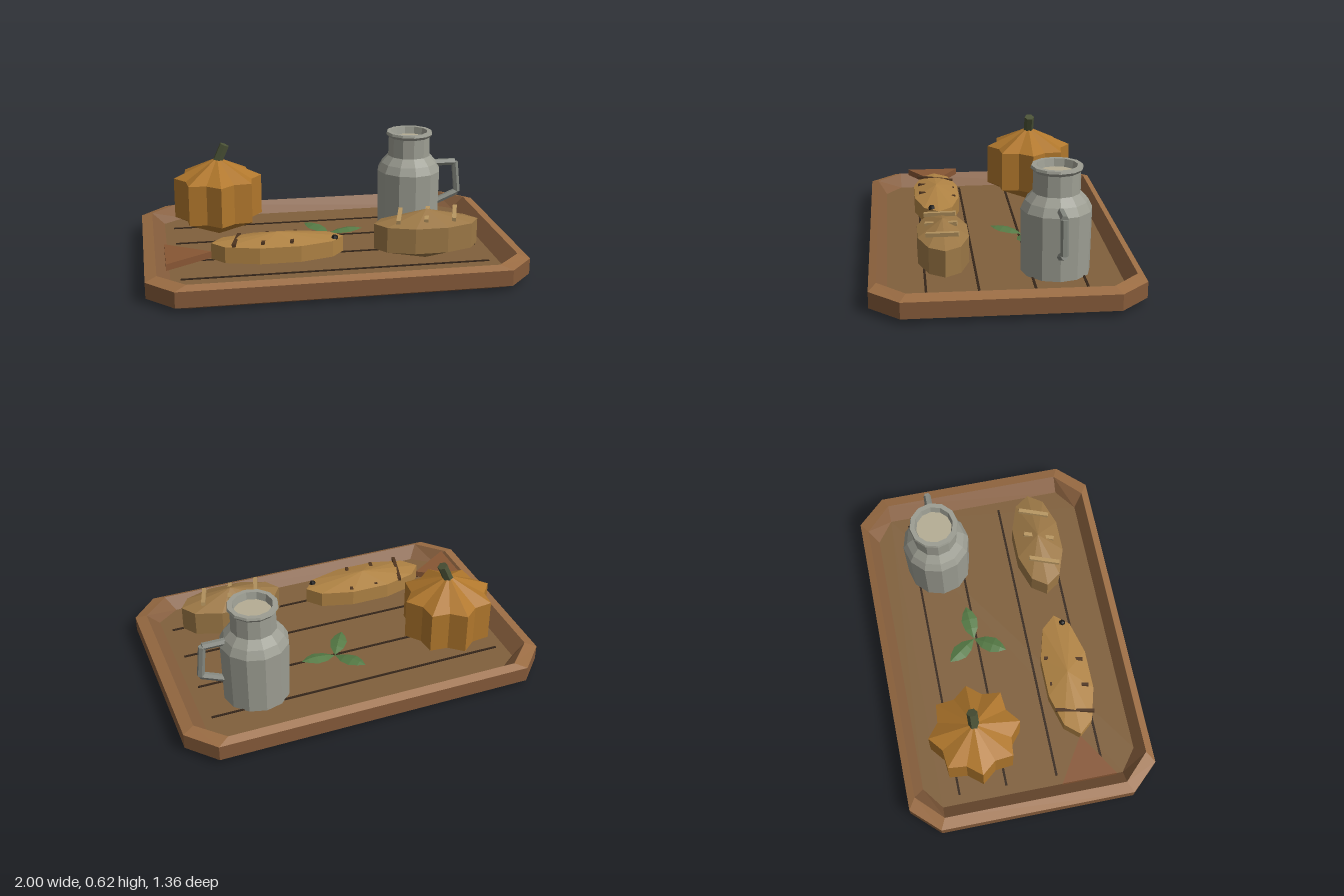
import * as THREE from 'three';

const mat = (color, side = THREE.FrontSide) =>
  new THREE.MeshStandardMaterial({ color, flatShading: true, side });

function add(parent, name, geometry, color, x = 0, y = 0, z = 0, side) {
  const mesh = new THREE.Mesh(geometry, mat(color, side));
  mesh.name = name;
  mesh.position.set(x, y, z);
  parent.add(mesh);
  return mesh;
}

// Rod between two points
function rod(parent, name, a, b, radius, sides, color) {
  const p = new THREE.Vector3(...a), q = new THREE.Vector3(...b);
  const dir = q.clone().sub(p);
  const mid = p.clone().add(q).multiplyScalar(0.5);
  const mesh = add(parent, name, new THREE.CylinderGeometry(radius, radius, dir.length(), sides), color, mid.x, mid.y, mid.z);
  mesh.quaternion.setFromUnitVectors(new THREE.Vector3(0, 1, 0), dir.normalize());
  return mesh;
}

// Rectangle with cut corners at height y
function ring(y, hx, hz, cx, cz) {
  return [[hx, -hz + cz], [hx, hz - cz], [hx - cx, hz], [-hx + cx, hz],
    [-hx, hz - cz], [-hx, -hz + cz], [-hx + cx, -hz], [hx - cx, -hz]].map(([x, z]) => [x, y, z]);
}

function meshFrom(points, index) {
  const g = new THREE.BufferGeometry();
  g.setAttribute('position', new THREE.Float32BufferAttribute(points.flat(), 3));
  g.setIndex(index);
  const out = g.toNonIndexed();
  out.computeVertexNormals();
  return out;
}

// Skin over consecutive rings of eight corners, optionally closed underneath
function loft(rings, closeBottom) {
  const index = [];
  for (let i = 0; i < rings.length - 1; i++) {
    for (let k = 0; k < 8; k++) {
      const a = i * 8 + k, b = i * 8 + (k + 1) % 8;
      index.push(a, a + 8, b + 8, a, b + 8, b);
    }
  }
  if (closeBottom) for (let k = 1; k < 7; k++) index.push(0, k, k + 1);
  return meshFrom(rings.flat(), index);
}

function buildTray() {
  const tray = new THREE.Group();
  tray.name = 'tray';
  const top = ring(0.115, 1, 0.68, 0.14, 0.15);
  const lip = ring(0.135, 0.94, 0.64, 0.14, 0.14);
  const floor = ring(0.065, 0.87, 0.59, 0.12, 0.09);
  add(tray, 'trayBody', loft([ring(0, 0.9, 0.62, 0.11, 0.12), ring(0.03, 1, 0.68, 0.14, 0.15), top], true), 0x855a39);
  add(tray, 'trayRim', loft([top, lip]), 0x9a6c43);
  add(tray, 'trayInnerWall', loft([lip, floor]), 0x855d3c);
  const fan = [];
  for (let k = 1; k < 7; k++) fan.push(0, k + 1, k);
  add(tray, 'trayFloor', meshFrom(floor, fan), 0x80603c);
  // Plank seams
  for (const z of [-0.4, -0.14, 0.14, 0.4]) {
    add(tray, 'plankSeam', new THREE.BoxGeometry(1.64, 0.008, 0.012), 0x35261a, 0, 0.066, z);
  }
  return tray;
}

// Low faceted mound: a three-band sphere
function mound(parent, name, hx, hy, hz, color, x, y, z) {
  const g = new THREE.SphereGeometry(1, 10, 3);
  g.scale(hx / 0.866, hy, hz / 0.866);
  return add(parent, name, g, color, x, y, z);
}

function buildFish() {
  const fish = new THREE.Group();
  fish.name = 'fish';
  mound(fish, 'fishBody', 0.348, 0.086, 0.131, 0xb08344, -0.305, 0.178, 0.303);
  // Triangular tail, point toward the body
  const shape = new THREE.Shape([[-0.89, -0.452], [-0.65, -0.303], [-0.89, -0.153]].map(([x, y]) => new THREE.Vector2(x, y)));
  const tail = new THREE.ExtrudeGeometry(shape, { depth: 0.035, bevelEnabled: false });
  tail.rotateX(-Math.PI / 2);
  add(fish, 'fishTail', tail, 0x875634, 0, 0.14, 0);
  for (const x of [-0.52, -0.37, -0.22]) {
    const cut = add(fish, 'fishSlash', new THREE.BoxGeometry(0.018, 0.018, 0.21), 0x4f3520, x, 0.228, 0.3);
    cut.rotation.set(-0.06, -0.23, 0);
  }
  add(fish, 'fishEye', new THREE.SphereGeometry(0.019, 6, 4), 0x1c1a18, -0.008, 0.224, 0.34);
  return fish;
}

function buildLoaf() {
  const loaf = new THREE.Group();
  loaf.name = 'loaf';
  mound(loaf, 'loafBody', 0.283, 0.137, 0.135, 0x9c7846, 0.493, 0.2075, 0.303);
  for (const x of [0.345, 0.495, 0.645]) {
    const score = add(loaf, 'loafScore', new THREE.BoxGeometry(0.022, 0.02, 0.17), 0xb5945f, x, 0.315, 0.31);
    score.rotation.set(0.12, -0.3, 0);
  }
  return loaf;
}

function buildPumpkin() {
  const pumpkin = new THREE.Group();
  pumpkin.name = 'pumpkin';
  // Every second meridian is pulled in to form eight ribs
  const g = new THREE.SphereGeometry(1, 16, 3);
  const p = g.attributes.position;
  for (let i = 0; i < p.count; i++) {
    const k = Math.round(Math.atan2(p.getZ(i), p.getX(i)) / (Math.PI / 8));
    const r = (Math.abs(k) % 2 ? 0.198 : 0.245) / 0.866;
    p.setXYZ(i, p.getX(i) * r, p.getY(i) * 0.225, p.getZ(i) * r);
  }
  add(pumpkin, 'pumpkinBody', g, 0xb0772c, -0.568, 0.2975, -0.262);
  rod(pumpkin, 'pumpkinStem', [-0.58, 0.47, -0.262], [-0.525, 0.593, -0.262], 0.028, 6, 0x4b5236);
  return pumpkin;
}

function buildJug() {
  const jug = new THREE.Group();
  jug.name = 'jug';
  const profile = [[0, 0.065], [0.178, 0.065], [0.183, 0.4], [0.16, 0.445], [0.122, 0.487], [0.12, 0.595],
    [0.134, 0.612], [0.13, 0.625], [0.105, 0.625], [0.096, 0.58]];
  add(jug, 'jugBody', new THREE.LatheGeometry(profile.map(([r, y]) => new THREE.Vector2(r, y)), 12),
    0x9c9d92, 0.535, 0, -0.27, THREE.DoubleSide);
  const milk = new THREE.CircleGeometry(0.098, 12);
  milk.rotateX(-Math.PI / 2);
  add(jug, 'jugContents', milk, 0xb5ad94, 0.535, 0.585, -0.27);
  // Angular handle
  const path = [[0.68, 0.43], [0.81, 0.43], [0.828, 0.25], [0.7, 0.195]];
  for (let i = 0; i < 3; i++) {
    rod(jug, 'jugHandle', [...path[i], -0.27], [...path[i + 1], -0.27], 0.02, 6, 0x84877f);
  }
  return jug;
}

function buildLeaves() {
  const leaves = new THREE.Group();
  leaves.name = 'herbSprig';
  // Folded leaf pointing along +x with a raised midrib
  const points = [], index = [];
  const stations = [[0, 0, 0], [0.06, 0.037, 0.018], [0.115, 0.046, 0.026], [0.16, 0.028, 0.024], [0.196, 0, 0.016]];
  stations.forEach(([x, w, y], i) => {
    points.push([x, y - w * 0.3, -w], [x, y, 0], [x, y - w * 0.3, w]);
    if (i) {
      for (const s of [0, 1]) {
        const a = (i - 1) * 3 + s;
        index.push(a, a + 1, a + 4, a, a + 4, a + 3);
      }
    }
  });
  // Reverse the winding so the upper face is the front
  const geometry = meshFrom(points, index.reverse());
  for (const angle of [0.05, 2.2, -2.13]) {
    const leaf = add(leaves, 'leaf', geometry, 0x557a45, 0.045, 0.075, -0.155, THREE.DoubleSide);
    leaf.rotation.y = angle;
  }
  return leaves;
}

export function createModel() {
  const model = new THREE.Group();
  model.name = 'foodTray';
  model.add(buildTray(), buildFish(), buildLoaf(), buildPumpkin(), buildJug(), buildLeaves());
  return model;
}
